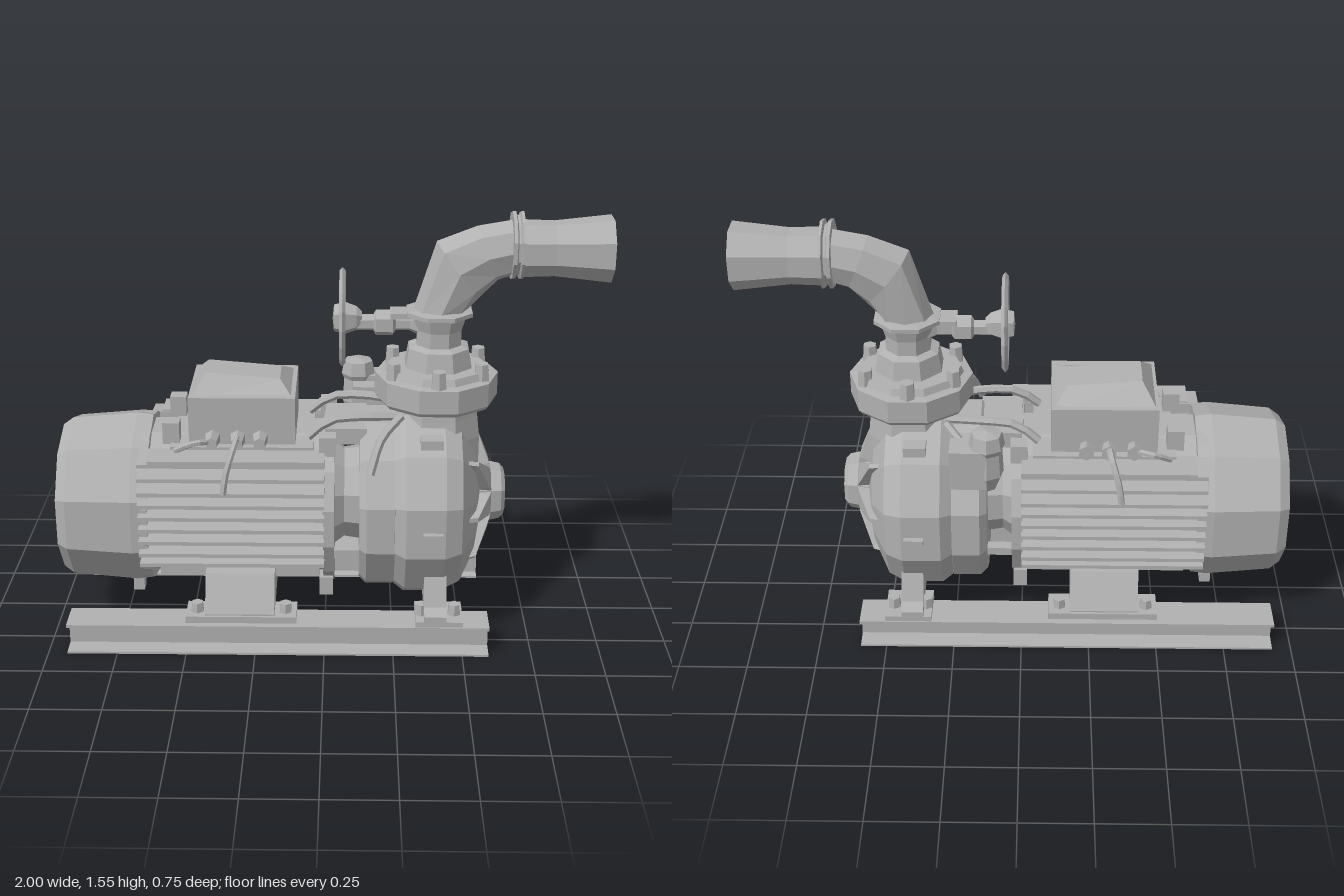
import * as THREE from 'three';

const steel = new THREE.MeshStandardMaterial({ color: 0xb0b0b0 });
steel.name = 'grey steel';

export function createModel() {
  const model = new THREE.Group();
  model.name = 'motorPump';

  // Faceted mesh with its own face normals
  const add = (name, geo, x = 0, y = 0, z = 0) => {
    const g = geo.index ? geo.toNonIndexed() : geo;
    g.computeVertexNormals();
    const mesh = new THREE.Mesh(g, steel);
    mesh.name = name;
    mesh.position.set(x, y, z);
    model.add(mesh);
    return mesh;
  };
  // Box given by its limits
  const box = (name, x0, x1, y0, y1, z0, z1) =>
    add(name, new THREE.BoxGeometry(x1 - x0, y1 - y0, z1 - z0), (x0 + x1) / 2, (y0 + y1) / 2, (z0 + z1) / 2);
  // Lathe from [radius, position] pairs, about x or y
  const lathe = (pts, sides) => {
    const g = new THREE.LatheGeometry(pts.map(p => new THREE.Vector2(...p)), sides);
    return g.rotateY(Math.PI / sides);
  };
  const latheX = (name, pts, sides, y) => add(name, lathe(pts, sides).rotateZ(-Math.PI / 2), 0, y);
  const latheY = (name, pts, sides, x) => add(name, lathe(pts, sides), x);
  // Section of [z, y] points extruded from x0 to x1
  const section = (name, pts, x0, x1) => {
    const s = new THREE.Shape(pts.map(([z, y]) => new THREE.Vector2(-z, y)));
    const g = new THREE.ExtrudeGeometry(s, { depth: x1 - x0, bevelEnabled: false }).rotateY(Math.PI / 2);
    return add(name, g, x0);
  };
  const tube = (name, pts, r, n = 6, sides = 6) =>
    add(name, new THREE.TubeGeometry(new THREE.CatmullRomCurve3(pts.map(p => new THREE.Vector3(...p))), n, r, sides));

  // Base rails and feet on both sides
  for (const s of [-1, 1]) {
    const m = pts => pts.map(([z, y]) => [z * s, y]);
    section('baseRail', m([[0.24, 0.004], [0.375, 0.004], [0.375, 0.012], [0.31, 0.016], [0.31, 0.105], [0.375, 0.108],
      [0.375, 0.12], [0.245, 0.12], [0.245, 0.108], [0.27, 0.105], [0.27, 0.016], [0.24, 0.012]]), -0.93, 0.595);
    section('motorFoot', m([[0.08, 0.16], [0.34, 0.12], [0.34, 0.15], [0.27, 0.28], [0.1, 0.3]]), -0.43, -0.18);
    box('motorFootPlate', -0.5, -0.1, 0.12, 0.145, s * 0.29 - 0.06, s * 0.29 + 0.06);
    section('pumpFoot', m([[0.18, 0.16], [0.37, 0.12], [0.37, 0.16], [0.33, 0.18], [0.29, 0.3], [0.2, 0.3]]), 0.36, 0.44);
    box('pumpFootPlate', 0.33, 0.5, 0.105, 0.14, s * 0.29 - 0.08, s * 0.29 + 0.08);
    for (const x of [-0.46, -0.14, 0.35, 0.47])
      add('footBolt', new THREE.CylinderGeometry(0.022, 0.025, 0.04, 6), x, 0.16, s * 0.3);
    box('casingLug', 0.35, 0.42, 0.455, 0.485, s * 0.35 - 0.025, s * 0.35 + 0.025);
    box('upperLug', 0.34, 0.42, 0.755, 0.79, s * 0.21 - 0.03, s * 0.21 + 0.03);
  }

  // Motor: fan cover, body, end shields
  latheX('fanCover', [[0, -1], [0.05, -0.998], [0.275, -0.962], [0.302, -0.925], [0.322, -0.69], [0.315, -0.63], [0, -0.63]], 10, 0.475);
  latheX('motorBody', [[0, -0.66], [0.285, -0.66], [0.285, 0.01], [0, 0.01]], 12, 0.475);
  latheX('rearShield', [[0, -0.67], [0.31, -0.67], [0.31, -0.63], [0, -0.63]], 14, 0.475);
  latheX('frontShield', [[0, -0.005], [0.315, -0.005], [0.315, 0.035], [0, 0.035]], 14, 0.475);
  latheX('lantern', [[0, 0.03], [0.2, 0.03], [0.17, 0.07], [0.18, 0.14], [0, 0.14]], 10, 0.49);

  // Cooling fins
  for (const s of [-1, 1]) {
    for (let i = 0; i < 9; i++) {
      const y = 0.335 + i * 0.047;
      const tip = 0.335 - 0.4 * Math.max(0, Math.abs(y - 0.5) - 0.12);
      section('sideFin', [[s * 0.18, y - 0.02], [s * tip, y - 0.007], [s * tip, y + 0.007], [s * 0.18, y + 0.02]], -0.66, 0);
    }
    for (const z of [0.05, 0.1, 0.15, 0.2])
      box('lowerFin', -0.6, -0.02, 0.19 + z * 0.25, 0.33, s * z - 0.007, s * z + 0.007);
    box('topEdge', -0.62, 0, 0.715, 0.735, s * 0.25 - 0.06, s * 0.25 + 0.06);
    box('shieldLug', -0.02, 0.04, 0.72, 0.79, s * 0.19 - 0.03, s * 0.19 + 0.03);
    box('shieldLowerLug', -0.02, 0.03, 0.16, 0.23, s * 0.17 - 0.03, s * 0.17 + 0.03);
    box('rearClip', -0.58, -0.52, 0.74, 0.82, s * 0.13 - 0.03, s * 0.13 + 0.03);
    box('coverClip', -0.71, -0.67, 0.15, 0.2, s * 0.13 - 0.025, s * 0.13 + 0.025);
  }

  // Terminal box with a sloping lid
  box('terminalBase', -0.55, -0.04, 0.7, 0.745, -0.21, 0.2);
  box('terminalBox', -0.485, -0.105, 0.73, 0.92, -0.18, 0.17);
  const lid = new THREE.BoxGeometry(0.38, 0.06, 0.35);
  const lp = lid.attributes.position;
  for (let i = 0; i < lp.count; i++)
    if (lp.getY(i) > 0) lp.setXYZ(i, lp.getX(i) * 0.7, lp.getX(i) < 0 ? 0.044 : 0.022, lp.getZ(i) * 0.4);
  add('terminalLid', lid, -0.295, 0.935, -0.005);

  // Cable glands and cables on both sides
  for (const s of [-1, 1]) {
    for (const x of [-0.4, -0.31, -0.23])
      add('cableGland', new THREE.CylinderGeometry(0.022, 0.03, 0.06, 6).rotateX(Math.PI / 2), x, 0.77, s * 0.2);
    tube('cable', [[-0.31, 0.785, s * 0.21], [-0.32, 0.77, s * 0.28], [-0.345, 0.69, s * 0.32], [-0.355, 0.62, s * 0.33]], 0.012);
    tube('sideCable', [[-0.4, 0.77, s * 0.21], [-0.46, 0.78, s * 0.25], [-0.53, 0.74, s * 0.22]], 0.011);
  }

  // Pump casing
  latheX('pumpBackPlate', [[0, 0.125], [0.31, 0.125], [0.335, 0.15], [0.335, 0.25], [0.3, 0.28], [0, 0.28]], 12, 0.475);
  latheX('pumpCasing', [[0, 0.2], [0.31, 0.22], [0.365, 0.29], [0.365, 0.43], [0.335, 0.49], [0.22, 0.545], [0.12, 0.565], [0, 0.565]], 12, 0.478);
  latheY('dischargeNeck', [[0, 0.55], [0.165, 0.6], [0.165, 0.74], [0.155, 0.82], [0.15, 0.88], [0, 0.88]], 8, 0.405);

  // Hub and radial ribs on the casing front
  latheX('frontHub', [[0, 0.53], [0.125, 0.54], [0.102, 0.645], [0.085, 0.66], [0, 0.66]], 8, 0.495);
  const ribShape = new THREE.Shape([[0.47, 0.07], [0.615, 0.07], [0.6, 0.13], [0.55, 0.26], [0.47, 0.28]]
    .map(p => new THREE.Vector2(...p)));
  for (let i = 0; i < 8; i++) {
    const g = new THREE.ExtrudeGeometry(ribShape, { depth: 0.08, bevelEnabled: false }).translate(0, 0, -0.04);
    const p = g.attributes.position;
    for (let k = 0; k < p.count; k++) if (p.getY(k) > 0.2) p.setZ(k, p.getZ(k) * 0.2);
    add('frontRib', g.rotateX(i * Math.PI / 4), 0, 0.495);
  }

  // Discharge flange with bolts
  latheY('dischargeFlange', [[0, 0.865], [0.21, 0.865], [0.222, 0.88], [0.222, 0.965], [0.19, 0.97], [0.18, 0.995], [0, 0.995]], 10, 0.4);
  for (let i = 0; i < 6; i++) {
    const a = (i + 0.5) * Math.PI / 3;
    add('flangeBolt', new THREE.CylinderGeometry(0.025, 0.03, 0.065, 6), 0.4 + 0.18 * Math.cos(a), 0.995, 0.18 * Math.sin(a));
  }

  // Valve body
  latheY('valveBody', [[0, 0.985], [0.13, 0.985], [0.115, 1.065], [0.085, 1.075], [0.085, 1.13], [0.1, 1.18], [0.125, 1.185],
    [0.125, 1.2], [0.09, 1.205], [0, 1.205]], 8, 0.405);

  // Outlet elbow: each ring spans an outer and an inner point, nozzle end first
  const rings = [[0.67, 1.53, 0.67, 1.33], [0.53, 1.505, 0.61, 1.31], [0.39, 1.45, 0.55, 1.25], [0.31, 1.195, 0.5, 1.195]];
  const elbow = new THREE.CylinderGeometry(1, 1, 3, 8, 3, true);
  const ep = elbow.attributes.position;
  for (let i = 0; i < ep.count; i++) {
    const [ox, oy, ix, iy] = rings[Math.round(1.5 - ep.getY(i))];
    const t = (ep.getX(i) + 1) / 2;
    ep.setXYZ(i, ox + (ix - ox) * t, oy + (iy - oy) * t, ep.getZ(i) * 0.088);
  }
  add('outletElbow', elbow);

  // Outlet ring and open nozzle
  latheX('outletRing', [[0.07, 0.65], [0.122, 0.65], [0.122, 0.662], [0.108, 0.667], [0.108, 0.675], [0.122, 0.68], [0.122, 0.69], [0.07, 0.69], [0.07, 0.65]], 10, 1.435);
  latheX('outletNozzle', [[0.102, 0.68], [0.098, 0.8], [0.12, 1.0], [0.103, 1.0], [0.084, 0.8], [0.08, 0.68]], 8, 1.425);
  add('nozzleEnd', new THREE.CylinderGeometry(0.09, 0.09, 0.01, 8).rotateZ(Math.PI / 2), 0.7, 1.43);

  // Handwheel, spokes and stem
  const rim = new THREE.TorusGeometry(0.152, 0.026, 6, 16).scale(1, 1, 0.5).rotateY(Math.PI / 2);
  add('handwheelRim', rim, 0.06, 1.17);
  for (let i = 0; i < 3; i++)
    add('handwheelSpoke', new THREE.BoxGeometry(0.015, 0.15, 0.024).translate(0, 0.075, 0).rotateX(i * Math.PI * 2 / 3), 0.06, 1.17);
  latheX('handwheelHub', [[0, 0.025], [0.05, 0.03], [0.06, 0.07], [0.045, 0.11], [0.025, 0.13], [0, 0.13]], 6, 1.165);
  latheX('valveStem', [[0, 0.1], [0.03, 0.1], [0.03, 0.17], [0.048, 0.18], [0.048, 0.24], [0.03, 0.25], [0.03, 0.3], [0.05, 0.34], [0, 0.36]], 6, 1.15);
  box('stemBridge', 0.23, 0.34, 1.175, 1.195, -0.045, 0.045);

  // Fitting behind the pump
  latheY('sideFitting', [[0, 0.67], [0.035, 0.68], [0.06, 0.74], [0.055, 0.83], [0.065, 0.85], [0.055, 0.9], [0, 0.91]], 7, 0.12).position.z = -0.305;
  box('fittingArm', 0.1, 0.24, 0.74, 0.83, -0.33, -0.19);
  box('fittingBlock', 0.12, 0.25, 0.7, 0.85, -0.36, -0.26);

  // Braces and small pipes joining motor and neck
  for (const s of [-1, 1]) {
    tube('neckBrace', [[0.27, 0.86, s * 0.18], [0.2, 0.8, s * 0.25], [0.16, 0.69, s * 0.31]], 0.016);
    tube('topPipe', [[-0.06, 0.76, s * 0.13], [0.02, 0.82, s * 0.12], [0.14, 0.83, s * 0.11], [0.28, 0.82, s * 0.08]], 0.016);
    box('lanternBar', 0.02, 0.15, 0.33, 0.36, s * 0.22 - 0.02, s * 0.22 + 0.02);
  }
  box('topBracket', 0, 0.15, 0.73, 0.79, -0.13, 0.13);

  return model;
}
